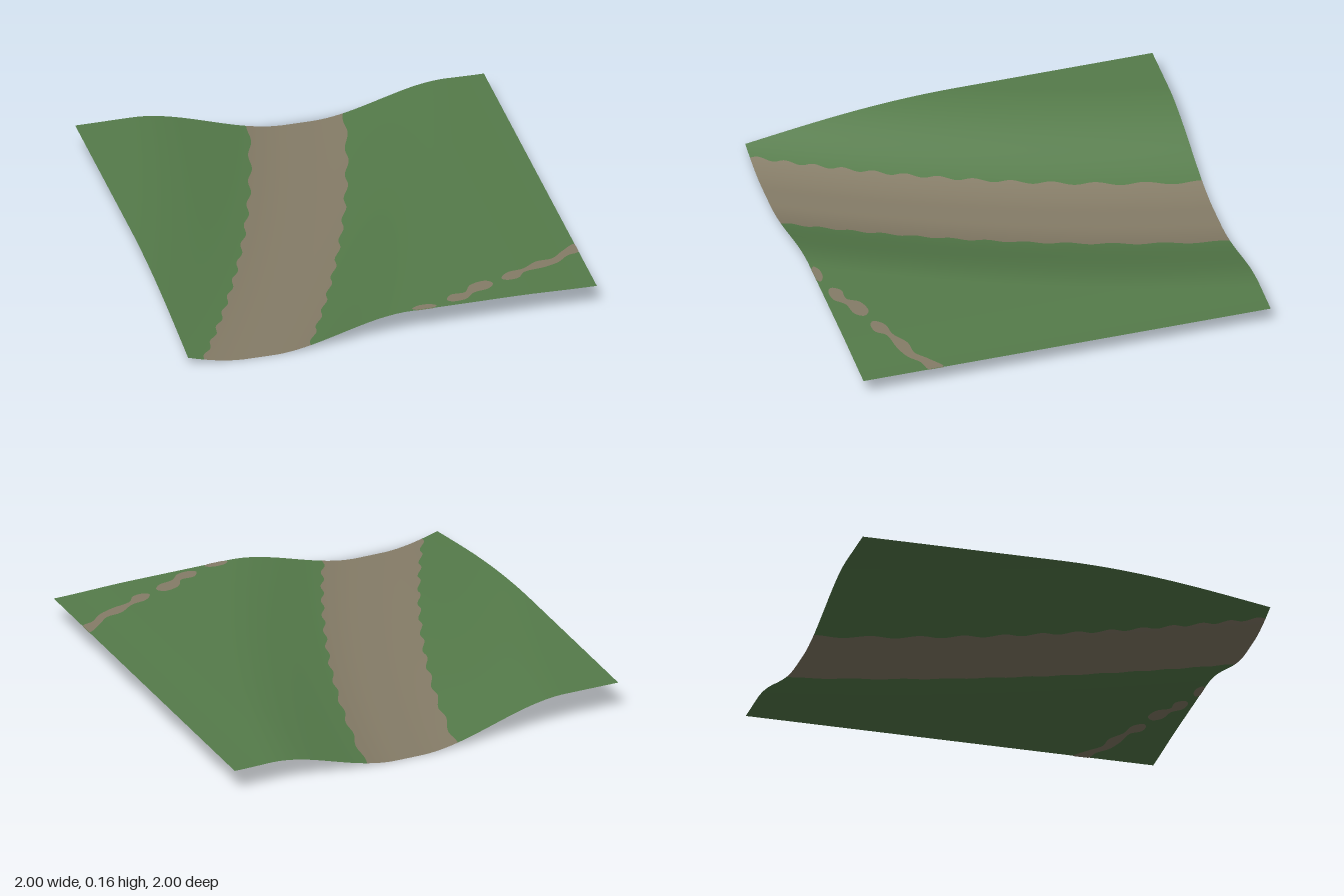
import * as THREE from 'three';

const smooth = THREE.MathUtils.smoothstep;

// Ground height: a curved valley with a bank on each side
function height(x, z) {
  const d = x + 0.215 + 0.37 * z + 0.08 * z * z;
  return d < 0
    ? 0.163 * smooth(-d, 0.05, 0.8)
    : 0.134 * smooth(d, 0.08, 0.75) - 0.008 * smooth(x, 0.6, 1);
}

// Softly stepped edge, with treads at tread + n * 0.0625
function stepped(x, tread) {
  const p = 0.0625;
  return x - 0.9 * Math.sin((2 * Math.PI * (x - tread)) / p) * p / (2 * Math.PI);
}
const pathLeft = (z) => Math.max(-1, stepped(-0.455 - 0.385 * z - 0.085 * z * z, -0.17));
const pathRight = (z) => stepped(0.03 - 0.36 * z - 0.075 * z * z, 0.29);

// Lays a flat geometry on the ground, with normals from the slope
function drape(geo, lift = 0) {
  const pos = geo.attributes.position, nor = geo.attributes.normal;
  const n = new THREE.Vector3(), e = 0.01;
  for (let i = 0; i < pos.count; i++) {
    const x = Math.min(1, pos.getX(i)), z = Math.min(1, pos.getZ(i));
    pos.setXYZ(i, x, height(x, z) + lift, z);
    n.set(height(x - e, z) - height(x + e, z), 2 * e, height(x, z - e) - height(x, z + e)).normalize();
    nor.setXYZ(i, n.x, n.y, n.z);
  }
  return geo;
}

// Strip of ground between two edges, running from back to front
function strip(name, from, to, cols, material) {
  const geo = new THREE.PlaneGeometry(2, 2, cols, 180).rotateX(-Math.PI / 2);
  const pos = geo.attributes.position;
  for (let i = 0; i < pos.count; i++) {
    const z = pos.getZ(i), t = (pos.getX(i) + 1) / 2;
    pos.setX(i, THREE.MathUtils.lerp(from(z), to(z), t));
  }
  const mesh = new THREE.Mesh(drape(geo), material);
  mesh.name = name;
  return mesh;
}

export function createModel() {
  const grass = new THREE.MeshStandardMaterial({ color: 0x557b4a, side: THREE.DoubleSide });
  grass.name = 'grass green';
  const dirt = new THREE.MeshStandardMaterial({ color: 0x857c67, side: THREE.DoubleSide });
  dirt.name = 'dirt brown';

  const model = new THREE.Group();
  model.name = 'terrain';
  model.add(
    strip('rightBank', () => -1, pathLeft, 28, grass),
    strip('valleyPath', pathLeft, pathRight, 16, dirt),
    strip('leftBank', pathRight, () => 1, 40, grass),
  );

  // Broken trail across the front corner, as x, z outlines
  const patches = [
    [[0.1, 0.985], [0.13, 0.965], [0.19, 0.965], [0.22, 0.985], [0.2, 1], [0.12, 1]],
    [[0.28, 0.95], [0.31, 0.91], [0.38, 0.905], [0.42, 0.85], [0.5, 0.83], [0.53, 0.86],
      [0.5, 0.9], [0.42, 0.92], [0.37, 0.965], [0.3, 0.97]],
    [[0.58, 0.83], [0.62, 0.785], [0.7, 0.77], [0.78, 0.72], [0.86, 0.71], [0.92, 0.66], [1, 0.605],
      [1, 0.68], [0.94, 0.7], [0.88, 0.75], [0.8, 0.78], [0.7, 0.8], [0.66, 0.845], [0.6, 0.85]],
  ];
  const trail = new THREE.Group();
  trail.name = 'brokenTrail';
  for (const outline of patches) {
    const curve = new THREE.CatmullRomCurve3(
      outline.map(([x, z]) => new THREE.Vector3(x, -z, 0)), true);
    const shape = new THREE.Shape(curve.getPoints(60).slice(0, -1).map((p) => new THREE.Vector2(p.x, p.y)));
    // One face above the grass and one below it
    for (const lift of [0.002, -0.002]) {
      const geo = new THREE.ShapeGeometry(shape).rotateX(-Math.PI / 2);
      const mesh = new THREE.Mesh(drape(geo, lift), dirt);
      mesh.name = lift > 0 ? 'trailPatchTop' : 'trailPatchUnderside';
      trail.add(mesh);
    }
  }
  model.add(trail);
  return model;
}
